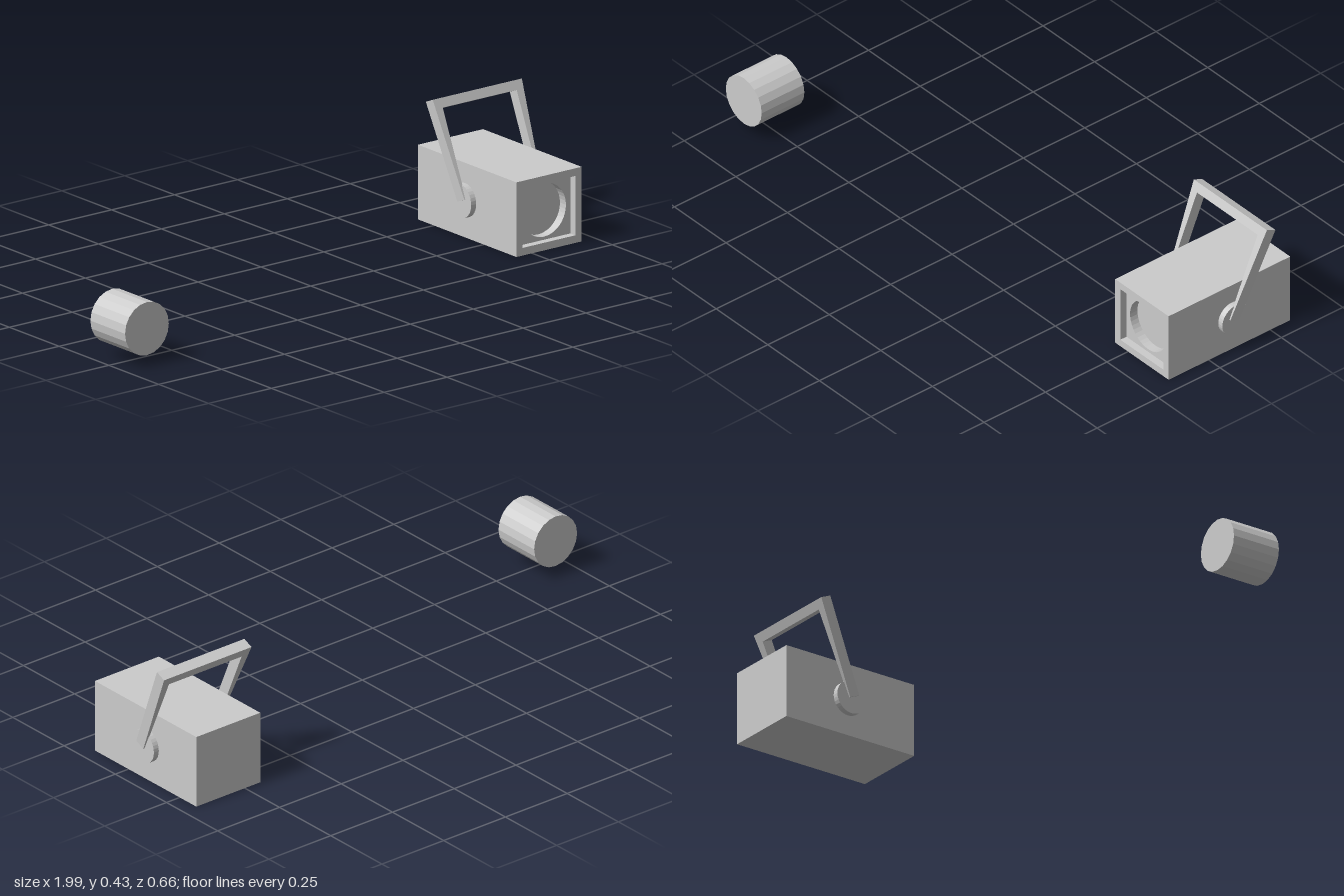
import * as THREE from 'three';

const material = new THREE.MeshStandardMaterial({ color: 0xcccccc, flatShading: true });

function addMesh(parent, name, geometry, x, y, z) {
  const mesh = new THREE.Mesh(geometry, material);
  mesh.name = name;
  mesh.position.set(x, y, z);
  parent.add(mesh);
  return mesh;
}

// Rectangle centred on the origin
function rectangle(Type, w, h) {
  return new Type([
    new THREE.Vector2(-w / 2, -h / 2), new THREE.Vector2(w / 2, -h / 2),
    new THREE.Vector2(w / 2, h / 2), new THREE.Vector2(-w / 2, h / 2),
  ]);
}

// Plate with an opening, extruded towards +z
function plate(w, h, hole, depth) {
  const shape = rectangle(THREE.Shape, w, h);
  shape.holes.push(hole);
  return new THREE.ExtrudeGeometry(shape, { depth, bevelEnabled: false, curveSegments: 20 });
}

export function createModel() {
  const model = new THREE.Group();
  model.name = 'lampWithLens';

  const W = 0.259, H = 0.244, cy = H / 2;
  const back = -0.331, front = 0.164, frameDepth = 0.025, socketDepth = 0.03;
  const socketZ = front - frameDepth - socketDepth;
  const R = 0.087;

  const lamp = new THREE.Group();
  lamp.name = 'lamp';
  lamp.position.x = 0.817;
  model.add(lamp);

  // Housing: solid body, panel with round socket, square front frame
  addMesh(lamp, 'body', new THREE.BoxGeometry(W, H, socketZ - back), 0, cy, (socketZ + back) / 2);
  const round = new THREE.Path().absarc(0, 0, R, 0, Math.PI * 2, true);
  addMesh(lamp, 'socketPanel', plate(W, H, round, socketDepth), 0, cy, socketZ);
  const square = rectangle(THREE.Path, 0.209, 0.194);
  addMesh(lamp, 'frontFrame', plate(W, H, square, frameDepth), 0, cy, front - frameDepth);

  // Pivot discs on both sides
  for (const side of [-1, 1]) {
    const disc = new THREE.CylinderGeometry(0.055, 0.055, 0.02, 32);
    disc.rotateZ(Math.PI / 2);
    addMesh(lamp, 'pivotDisc', disc, side * (W / 2 + 0.01), 0.123, -0.093);
  }

  // Tilted bracket, its arms narrowing towards the pivots
  const L = 0.326, bar = 0.031, thick = 0.038;
  const outline = [
    [-0.154, 0], [-0.147, 0], [-0.147, L - bar], [0.147, L - bar],
    [0.147, 0], [0.154, 0], [0.177, L], [-0.177, L],
  ].map(([x, y]) => new THREE.Vector2(x, y));
  const bracket = new THREE.ExtrudeGeometry(new THREE.Shape(outline), { depth: thick, bevelEnabled: false });
  bracket.translate(0, 0, -thick / 2);
  addMesh(lamp, 'bracket', bracket, 0, 0.127, -0.0845).rotation.x = -0.407;

  // Separate lens barrel
  const barrel = new THREE.CylinderGeometry(R, R, 0.174, 20);
  barrel.rotateX(Math.PI / 2);
  addMesh(model, 'lensBarrel', barrel, -0.913, 0.123, 0.244);

  return model;
}
